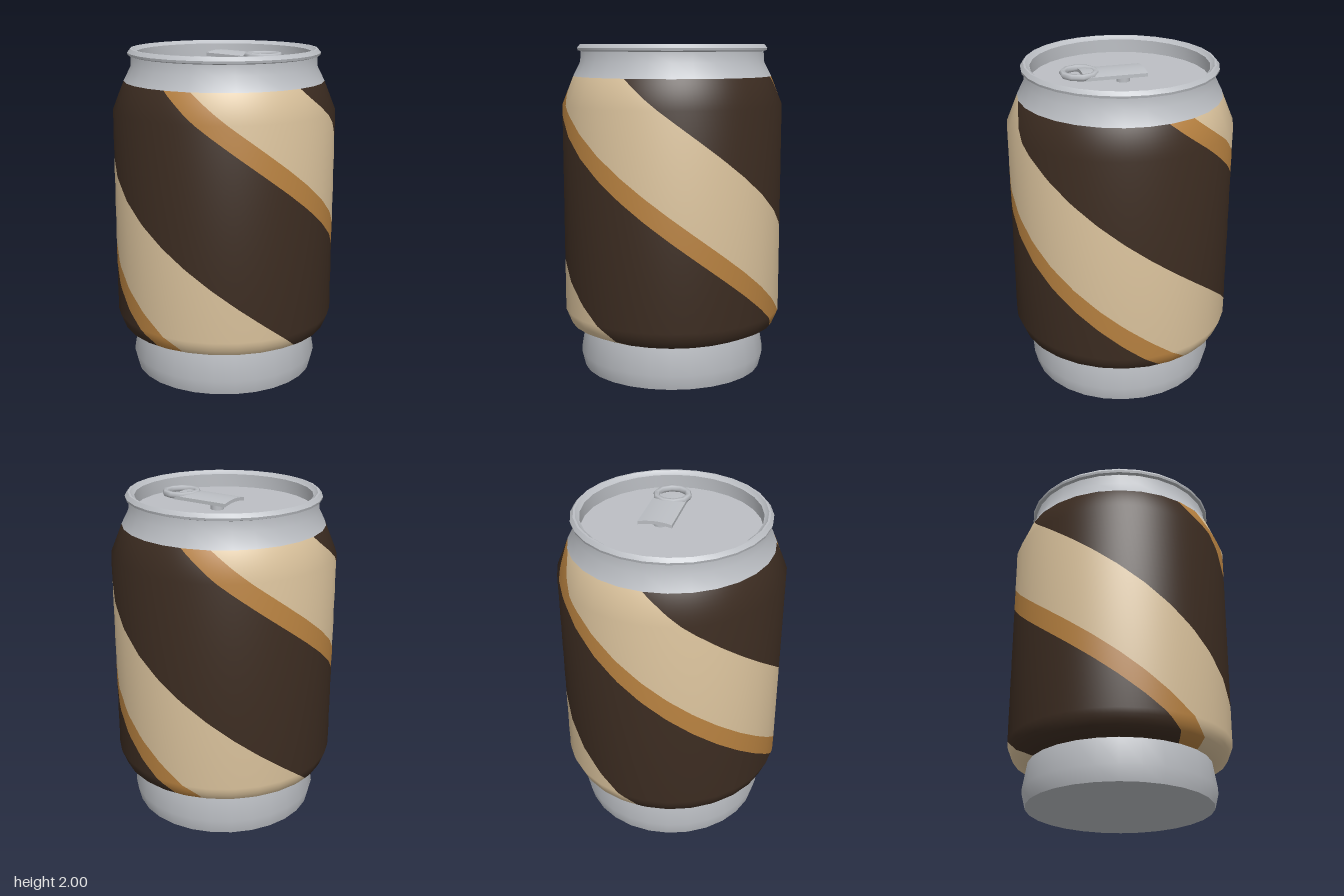
import * as THREE from 'three';
import { toCreasedNormals } from 'three/addons/utils/BufferGeometryUtils.js';

const SIDES = 28;
const DEG = Math.PI / 180;

// Painted wall profile: [height, radius, upward tilt of the normal]
const WALL = [
  [0.25, 0.55, -0.9], [0.29, 0.64, -0.6], [0.375, 0.674, -0.05],
  [1.64, 0.674, 0.12], [1.81, 0.605, 0.42],
];
const TWIST = 180 * DEG / (1.81 - 0.25);

function material(name, color) {
  const m = new THREE.MeshStandardMaterial({ color });
  m.name = name;
  return m;
}

// Radius of the many-sided wall at a given angle
function polygonRadius(r, angle) {
  const step = 2 * Math.PI / SIDES;
  const local = ((angle % step) + step) % step;
  return r * Math.cos(step / 2) / Math.cos(local - step / 2);
}

// Helical stripe of the wall between two angles (in degrees at the lower edge)
function stripeGeometry(from, to) {
  const rows = [];
  WALL.slice(0, -1).forEach((a, i) => {
    const b = WALL[i + 1];
    const n = Math.ceil((b[0] - a[0]) / 0.03);
    for (let k = 0; k < n; k++) rows.push(a.map((v, j) => v + (b[j] - v) * k / n));
  });
  rows.push(WALL[WALL.length - 1]);

  const cols = Math.ceil((to - from) / 3);
  const positions = [], normals = [], index = [];
  rows.forEach(([y, r, tilt], j) => {
    for (let i = 0; i <= cols; i++) {
      const angle = (from + (to - from) * i / cols) * DEG - TWIST * (y - 0.25);
      const radius = polygonRadius(r, angle);
      const flat = Math.sqrt(1 - tilt * tilt);
      positions.push(radius * Math.sin(angle), y, radius * Math.cos(angle));
      normals.push(flat * Math.sin(angle), tilt, flat * Math.cos(angle));
      if (j > 0 && i > 0) {
        const d = j * (cols + 1) + i, c = d - 1, b = d - cols - 1, a = b - 1;
        index.push(a, b, d, a, d, c);
      }
    }
  });
  const g = new THREE.BufferGeometry();
  g.setAttribute('position', new THREE.Float32BufferAttribute(positions, 3));
  g.setAttribute('normal', new THREE.Float32BufferAttribute(normals, 3));
  g.setIndex(index);
  return g;
}

function turned(points) {
  const profile = points.map(([r, y]) => new THREE.Vector2(r, y));
  return toCreasedNormals(new THREE.LatheGeometry(profile, SIDES), 0.6);
}

export function createModel() {
  const can = new THREE.Group();
  can.name = 'drinkCan';
  const silver = material('silver', 0xbcbfc4);
  const brown = material('darkBrown', 0x3c2c21);
  const cream = material('cream', 0xdac29c);
  const orange = material('caramel', 0xb78140);

  function add(name, geometry, mat, parent = can) {
    const mesh = new THREE.Mesh(geometry, mat);
    mesh.name = name;
    parent.add(mesh);
    return mesh;
  }

  // Silver foot with flat underside
  add('base', turned([[0, 0], [0.555, 0], [0.577, 0.09], [0.55, 0.25]]), silver);

  // Silver neck, rolled rim and sunken lid
  add('neckAndLid', turned([
    [0.605, 1.81], [0.562, 1.895], [0.558, 1.958], [0.577, 1.964], [0.58, 1.978],
    [0.562, 2], [0.55, 2], [0.535, 1.985], [0.525, 1.98], [0.525, 1.9], [0, 1.9],
  ]), silver);

  // Spiral wrap, repeated on the opposite side
  const wrap = new THREE.Group();
  wrap.name = 'wrap';
  can.add(wrap);
  for (const turn of [0, 180]) {
    add('caramelStripe', stripeGeometry(turn + 11, turn + 27), orange, wrap);
    add('creamStripe', stripeGeometry(turn + 27, turn + 90), cream, wrap);
    add('brownStripe', stripeGeometry(turn + 90, turn + 191), brown, wrap);
  }

  // Pull tab: slightly arched plate, finger ring and rivet
  const tab = new THREE.Group();
  tab.name = 'pullTab';
  tab.position.set(0, 1.955, -0.068);
  can.add(tab);
  const plate = new THREE.BoxGeometry(0.37, 0.02, 0.2, 1, 1, 8);
  const p = plate.attributes.position;
  for (let i = 0; i < p.count; i++) {
    p.setY(i, p.getY(i) + 0.012 * (1 - (p.getZ(i) / 0.1) ** 2));
  }
  add('tabPlate', toCreasedNormals(plate, 0.6), silver, tab).position.x = 0.065;

  const ring = add('tabRing', new THREE.TorusGeometry(0.097, 0.02, 6, 10), silver, tab);
  ring.rotation.set(Math.PI / 2, 0, Math.PI / 10);
  ring.position.set(0.258, 0.012, 0.003);

  const rivet = add('tabRivet', new THREE.CylinderGeometry(0.04, 0.04, 0.055, 12), silver, tab);
  rivet.position.set(0, -0.0275, 0);

  return can;
}
